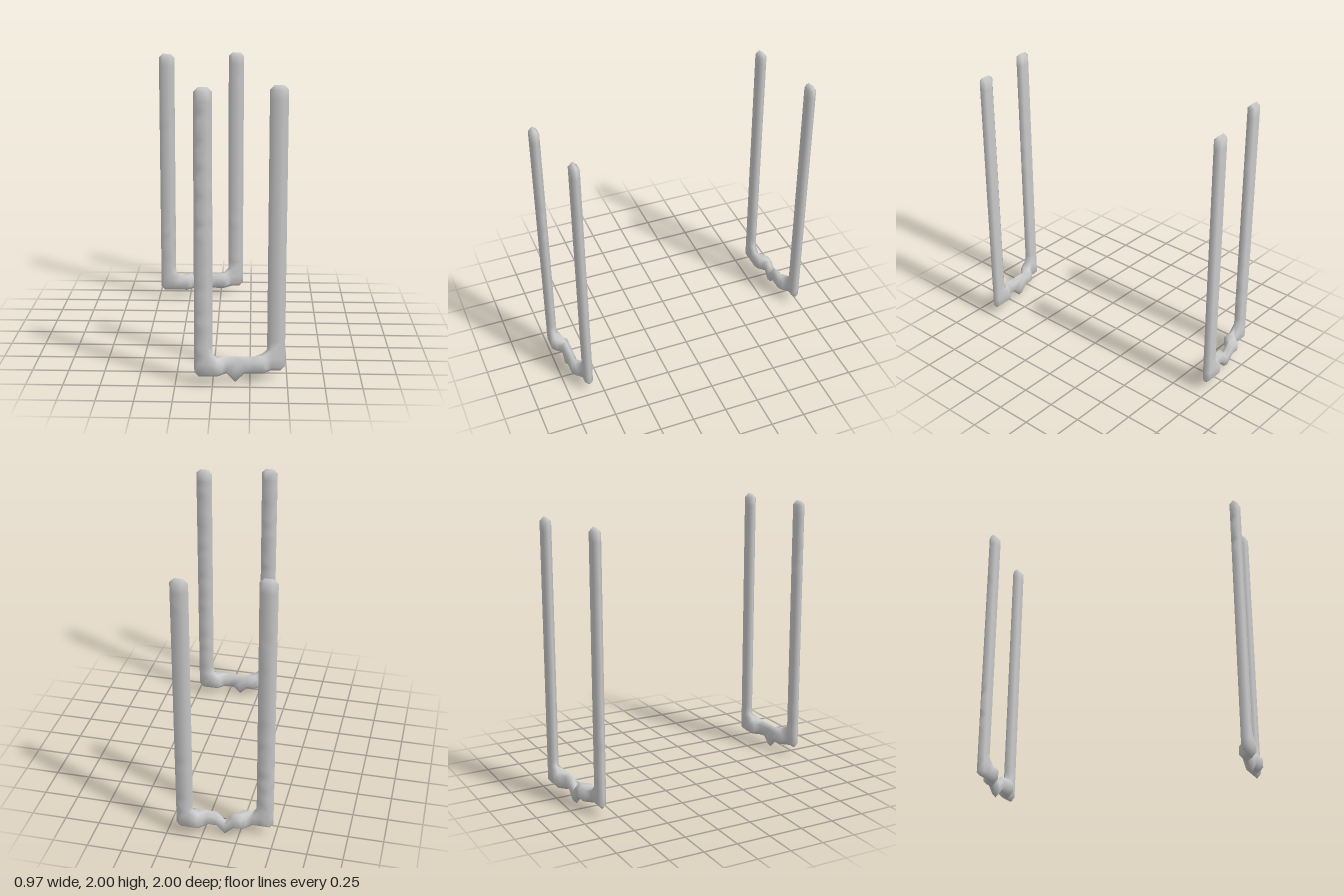
import * as THREE from 'three';
import { ConvexGeometry } from 'three/addons/geometries/ConvexGeometry.js';
import { mergeVertices } from 'three/addons/utils/BufferGeometryUtils.js';

const STEP = 2 / 33; // spacing of the lattice the brackets are laid out on
const TOP = 32;

const key = (x, y, z) => `${x},${y},${z}`;

// Lattice points filled by one bracket: two posts, a jogged crossbar, a spike
function bracketNodes({ x0, x1, jogA, jogB, spike, zLeft, notch }) {
  const nodes = new Set();
  const column = (x, z, from, to) => {
    for (let y = from; y <= to; y++) nodes.add(key(x, y, z));
  };
  for (const x of [x0, x0 + 1]) column(x, zLeft, 1, TOP);
  for (const x of [x1 - 1, x1]) column(x, zLeft - 2, 1, TOP);
  for (let x = x0; x <= jogA; x++) column(x, zLeft, 1, 2);
  for (let x = jogA; x <= jogB; x++) column(x, zLeft - 1, 1, 2);
  for (let x = jogB; x <= x1; x++) column(x, zLeft - 2, 1, 2);
  nodes.add(key(spike, 0, zLeft - 1));
  if (notch) nodes.delete(key(spike, 2, zLeft - 1));
  return nodes;
}

// Bevelled skin inside one lattice cell: hull of filled corners and cut edges
function cellTriangles(nodes, cell) {
  const corners = [];
  for (let i = 0; i < 8; i++) {
    corners.push(new THREE.Vector3(cell[0] + (i & 1), cell[1] + ((i >> 1) & 1), cell[2] + (i >> 2)));
  }
  const filled = corners.map((c) => nodes.has(key(c.x, c.y, c.z)));
  if (filled.every(Boolean)) return [];
  const points = [];
  for (let i = 0; i < 8; i++) {
    if (!filled[i]) continue;
    points.push(corners[i].clone());
    for (const bit of [1, 2, 4]) {
      if (!filled[i ^ bit]) points.push(corners[i].clone().lerp(corners[i ^ bit], 0.5));
    }
  }
  const pos = new ConvexGeometry(points).attributes.position;
  const triangles = [];
  for (let t = 0; t < pos.count; t += 3) {
    const tri = [0, 1, 2].map((k) => new THREE.Vector3().fromBufferAttribute(pos, t + k).toArray());
    // drop faces shared with the neighbouring cell
    const inner = [0, 1, 2].some((a) => [0, 1].some((side) =>
      tri.every((p) => Math.abs(p[a] - cell[a] - side) < 1e-6)));
    if (!inner) triangles.push(tri.flat());
  }
  return triangles;
}

function bracket(name, options, material) {
  const nodes = bracketNodes(options);
  const cells = new Map();
  for (const n of nodes) {
    const [x, y, z] = n.split(',').map(Number);
    for (let i = 0; i < 8; i++) {
      const c = [x - (i & 1), y - ((i >> 1) & 1), z - (i >> 2)];
      cells.set(key(...c), c);
    }
  }

  // Sort the skin into named parts
  const parts = { crossbar: [], rightPost: [], leftPost: [] };
  const middle = (options.x0 + options.x1) / 2;
  for (const c of cells.values()) {
    const part = c[1] < 3 ? 'crossbar' : c[0] < middle ? 'rightPost' : 'leftPost';
    parts[part].push(...cellTriangles(nodes, c));
  }

  // Smooth the whole bracket at once so the parts join without seams
  let whole = new THREE.BufferGeometry();
  const all = Object.values(parts).flat(2);
  whole.setAttribute('position', new THREE.Float32BufferAttribute(all, 3));
  whole.translate(-7.5, 0.5, -16).scale(STEP, STEP, STEP);
  whole = mergeVertices(whole, 1e-5);
  whole.computeVertexNormals();
  whole = whole.toNonIndexed();

  const group = new THREE.Group();
  group.name = name;
  let start = 0;
  for (const [partName, triangles] of Object.entries(parts)) {
    const end = start + triangles.length * 9;
    const geometry = new THREE.BufferGeometry();
    for (const attr of ['position', 'normal']) {
      geometry.setAttribute(attr, new THREE.BufferAttribute(whole.attributes[attr].array.slice(start, end), 3));
    }
    const mesh = new THREE.Mesh(geometry, material);
    mesh.name = partName;
    group.add(mesh);
    start = end;
  }
  return group;
}

export function createModel() {
  const material = new THREE.MeshStandardMaterial({ color: 0xcccccc });
  const model = new THREE.Group();
  model.name = 'bracketPair';
  model.add(
    bracket('frontBracket', { x0: 6, x1: 15, jogA: 8, jogB: 13, spike: 10, zLeft: 32, notch: false }, material),
    bracket('rearBracket', { x0: 0, x1: 10, jogA: 3, jogB: 8, spike: 5, zLeft: 2, notch: true }, material),
  );
  return model;
}
